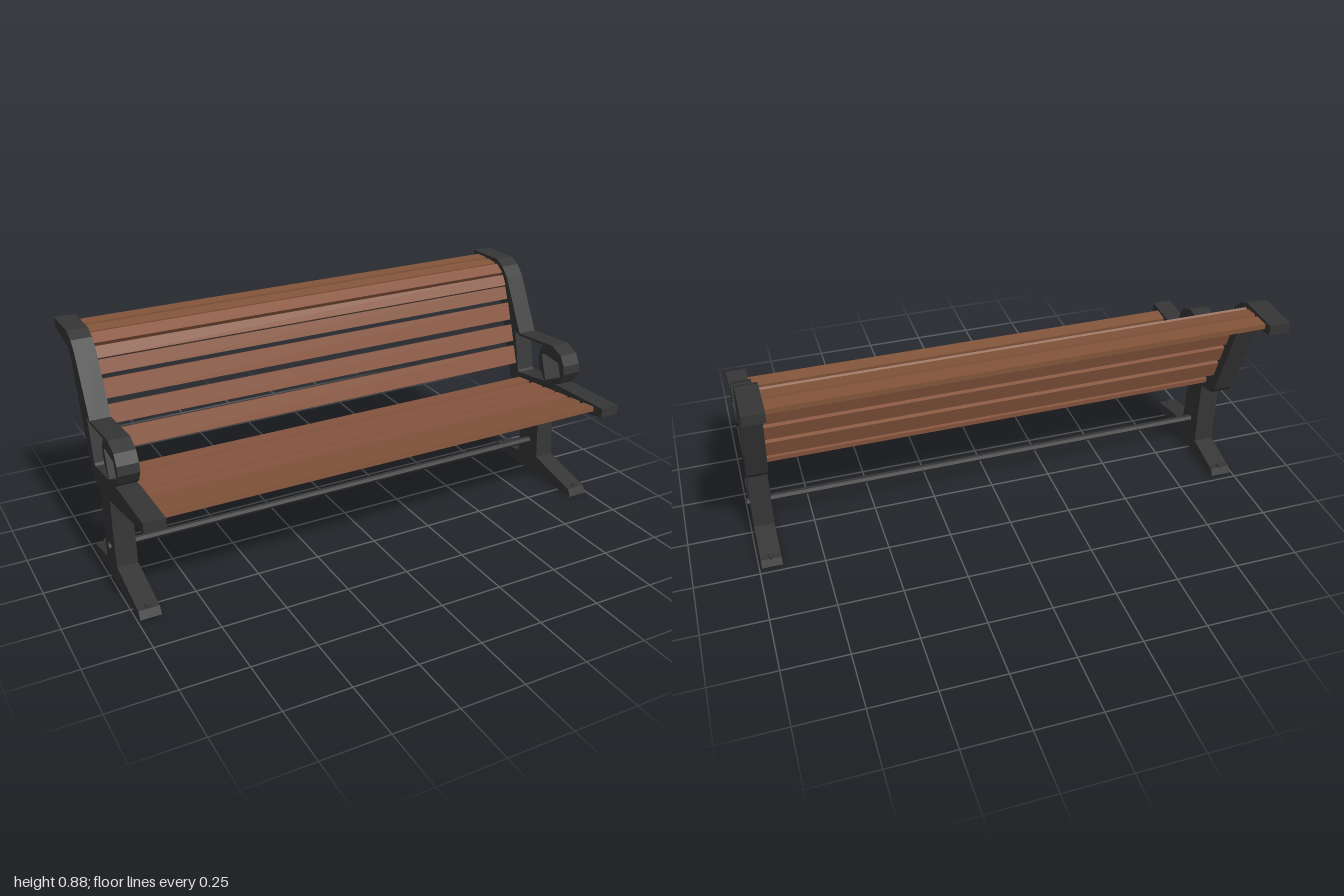
import * as THREE from 'three';

const iron = new THREE.MeshStandardMaterial({ color: 0x363636, flatShading: true });
iron.name = 'castIron';
const wood = new THREE.MeshStandardMaterial({ color: 0x88563f });
wood.name = 'wood';
const paleWood = new THREE.MeshStandardMaterial({ color: 0x83553a });
paleWood.name = 'paleWood';

const FRAME_IN = 0.91, FRAME_OUT = 0.99;

// Extrudes a side profile of [z, y] points across the frame width, centred on x = 0
function sidePlate(name, points, hole, width = FRAME_OUT - FRAME_IN) {
  const toPoints = list => list.map(([z, y]) => new THREE.Vector2(z, y));
  const shape = new THREE.Shape(toPoints(points));
  if (hole) shape.holes.push(new THREE.Path(toPoints(hole)));
  const geometry = new THREE.ExtrudeGeometry(shape, { depth: width, bevelEnabled: false });
  geometry.translate(0, 0, -width / 2).rotateY(-Math.PI / 2);
  const mesh = new THREE.Mesh(geometry, iron);
  mesh.name = name;
  return mesh;
}

function createSideFrame() {
  const frame = new THREE.Group();

  // Pedestal leg with spreading foot
  frame.add(sidePlate('legAndFoot', [
    [0.33, 0], [0.315, 0.03], [0.285, 0.035], [0.085, 0.08], [0.075, 0.26], [0.08, 0.38],
    [-0.04, 0.38], [-0.043, 0.06], [-0.185, 0.03], [-0.208, 0.028], [-0.222, 0],
  ]));

  // Seat rail sweeping up into the rolled-over back
  frame.add(sidePlate('seatAndBackRail', [
    [0.47, 0.468], [0.2, 0.462], [0.11, 0.452], [-0.08, 0.424], [-0.09, 0.432], [-0.128, 0.6],
    [-0.095, 0.598], [-0.215, 0.822], [-0.25, 0.858], [-0.295, 0.88], [-0.47, 0.877],
    [-0.47, 0.838], [-0.295, 0.815], [-0.28, 0.8], [-0.142, 0.39], [-0.125, 0.368],
    [-0.04, 0.345], [0.08, 0.36], [0.47, 0.43],
  ]));

  // Armrest bar and its scroll
  frame.add(sidePlate('armrestBar', [
    [0.13, 0.62], [-0.095, 0.6], [-0.128, 0.6], [-0.095, 0.59], [0.06, 0.602], [0.13, 0.607],
  ]));
  frame.add(sidePlate('armrestScroll', [
    [0.13, 0.62], [0.19, 0.595], [0.213, 0.555], [0.218, 0.52], [0.195, 0.478], [0.16, 0.452],
    [0.1, 0.449], [0.058, 0.495], [0.045, 0.535], [0.05, 0.572], [0.075, 0.606],
  ], [[0.16, 0.609], [0.067, 0.56], [0.102, 0.456], [0.198, 0.5]]));

  // Floor bolts on the feet
  for (const [z, y] of [[0.302, 0.033], [-0.198, 0.031]]) {
    const bolt = new THREE.Mesh(new THREE.CylinderGeometry(0.011, 0.014, 0.014, 6), iron);
    bolt.name = 'floorBolt';
    bolt.position.set(0, y, z);
    frame.add(bolt);
  }
  return frame;
}

export function createModel() {
  const bench = new THREE.Group();
  bench.name = 'bench';

  for (const side of [-1, 1]) {
    const frame = createSideFrame();
    frame.name = side > 0 ? 'leftFrame' : 'rightFrame';
    frame.position.x = side * (FRAME_IN + FRAME_OUT) / 2;
    bench.add(frame);
  }

  // A slat spans both frames; tilt turns its flat face about x
  const addSlat = (name, z, y, depth, tilt, material) => {
    const slat = new THREE.Mesh(new THREE.BoxGeometry(2 * FRAME_IN + 0.02, 0.02, depth), material);
    slat.name = name;
    slat.position.set(0, y, z);
    slat.rotation.x = tilt;
    bench.add(slat);
  };

  // Seat slats, sloping down to the back
  [0.388, 0.305, 0.223, 0.14, 0.056, -0.04].forEach((z, i) =>
    addSlat('seatSlat', z, 0.398 + (z + 0.04) * 0.11, i < 2 ? 0.062 : 0.068, -0.11,
      i < 2 ? paleWood : wood));

  // Back slats: [z, y, depth, tilt], rising and rolling over at the top
  [
    [-0.128, 0.492, 0.078, 1.25], [-0.158, 0.583, 0.072, 1.25], [-0.19, 0.673, 0.074, 1.25],
    [-0.22, 0.748, 0.055, 1.2], [-0.24, 0.798, 0.046, 1.05], [-0.276, 0.838, 0.05, 0.6],
    [-0.333, 0.853, 0.055, 0.12], [-0.406, 0.857, 0.06, 0],
  ].forEach(([z, y, depth, tilt], i) =>
    addSlat('backSlat', z, y, depth, tilt, i > 5 ? paleWood : wood));

  // Stretcher rod through both legs
  const rod = new THREE.Mesh(new THREE.CylinderGeometry(0.014, 0.014, 2, 6), iron);
  rod.name = 'stretcherRod';
  rod.rotation.z = Math.PI / 2;
  rod.position.set(0, 0.14, 0.022);
  bench.add(rod);

  return bench;
}
